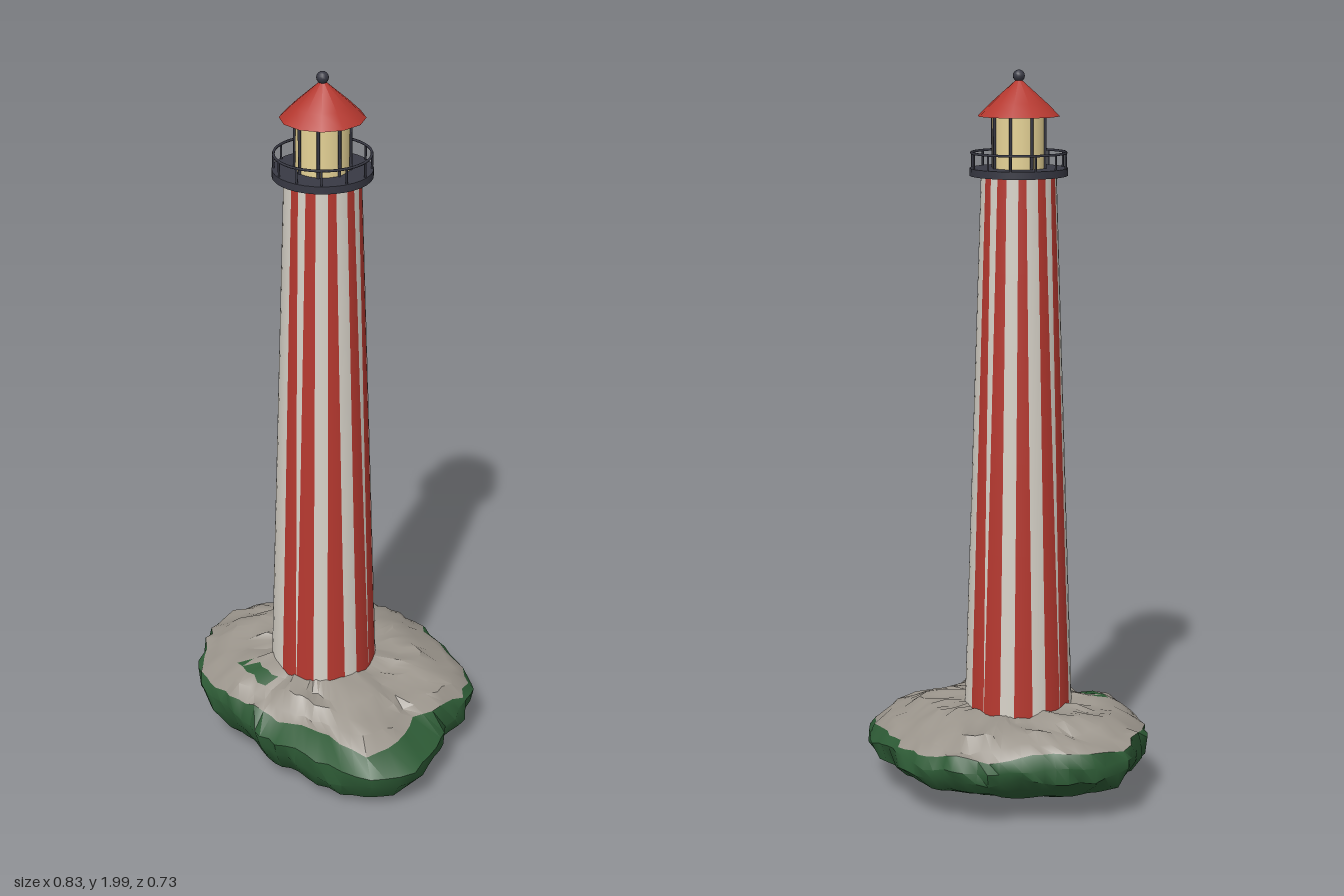
import * as THREE from 'three';
import { toCreasedNormals } from 'three/addons/utils/BufferGeometryUtils.js';

const DEG = Math.PI / 180;
const CX = -0.015, CZ = 0.017; // tower axis

function material(name, color) {
  const m = new THREE.MeshStandardMaterial({ color });
  m.name = name;
  return m;
}

// Small repeatable noise in -0.5..0.5
function noise(i, j) {
  const s = Math.sin(i * 127.1 + j * 311.7) * 43758.5453;
  return s - Math.floor(s) - 0.5;
}

// Strip of the tapered tower between two angles, which may differ at bottom and top
function towerStrip(a0, a1, t0, t1) {
  const y0 = 0.21, y1 = 1.73, r0 = 0.151, r1 = 0.1, rows = 6, cols = 6;
  const pos = [], nor = [], idx = [];
  for (let j = 0; j <= rows; j++) {
    const v = j / rows, r = r0 + (r1 - r0) * v;
    for (let i = 0; i <= cols; i++) {
      const u = i / cols;
      const low = a0 + (a1 - a0) * u, high = t0 + (t1 - t0) * u;
      const a = (low + (high - low) * v) * DEG;
      pos.push(r * Math.cos(a), y0 + (y1 - y0) * v, r * Math.sin(a));
      nor.push(Math.cos(a), 0.033, Math.sin(a));
      if (i < cols && j < rows) {
        const p = j * (cols + 1) + i, q = p + cols + 1;
        idx.push(p, q, p + 1, p + 1, q, q + 1);
      }
    }
  }
  const g = new THREE.BufferGeometry();
  g.setAttribute('position', new THREE.Float32BufferAttribute(pos, 3));
  g.setAttribute('normal', new THREE.Float32BufferAttribute(nor, 3));
  g.setIndex(idx);
  return g;
}

// Rock island: rings from the summit over the rim to the underside
function islandGeometry() {
  // outline radius and grey-top radius every 15 degrees, from +x towards +z
  const rim = [.375, .42, .47, .455, .415, .36, .345, .315, .335, .365, .385, .39,
    .415, .39, .35, .343, .347, .365, .363, .363, .35, .38, .41, .405];
  const top = [.355, .33, .385, .4, .325, .3, .29, .295, .325, .355, .375, .38,
    .395, .38, .335, .328, .337, .35, .345, .35, .335, .355, .395, .39];
  const N = 72;
  const sample = (t, k) => {
    const f = k * 24 / N, i = Math.floor(f);
    return t[i % 24] + (t[(i + 1) % 24] - t[i % 24]) * (f - i);
  };
  // [table, scale, height, tilt in x, tilt in z, roughness]
  const rings = [
    [top, 0, .27, 0, 0, 0], [top, .35, .27, -.02, 0, .01],
    [top, .5, .265, -.04, 0, .022], [top, .64, .257, -.04, 0, .025],
    [top, .78, .245, -.04, 0, .025], [top, .9, .228, -.04, 0, .025],
    [top, 1, .2, -.04, -.01, .025],
    [rim, 1, .168, -.06, -.03, .025], [rim, .985, .13, -.06, -.04, .025],
    [rim, .9, .09, -.07, -.07, .022], [rim, .74, .055, -.06, -.09, .018],
    [rim, .5, .037, -.04, -.09, .015], [rim, .25, .027, -.03, -.08, .012],
    [rim, 0, .02, 0, 0, 0],
  ];
  const pos = [], rock = [], grass = [];
  rings.forEach(([table, s, y, tx, tz, rough], j) => {
    for (let k = 0; k < N; k++) {
      const a = k / N * Math.PI * 2;
      // coarse bumps shared by neighbours plus fine ones
      const c = Math.floor(k / 3), w = (k % 3) / 3;
      const coarse = noise(c, j) * (1 - w) + noise((c + 1) % (N / 3), j) * w;
      const r = sample(table, k) * s + (s ? rough * 0.7 * noise(k, j + 40) : 0);
      const x = r * Math.cos(a), z = r * Math.sin(a);
      const h = y + tx * x + tz * z + rough * (coarse * 1.3 + noise(k, j + 80) * 0.3);
      pos.push(x, Math.max(0, h), z);
    }
  });
  const addTriangle = (j, a, b, c) => {
    const x = (pos[a * 3] + pos[b * 3] + pos[c * 3]) / 3;
    const z = (pos[a * 3 + 2] + pos[b * 3 + 2] + pos[c * 3 + 2]) / 3;
    const patch = Math.hypot((x + 0.13) / 0.055, (z - 0.2) / 0.026) < 1;
    (j >= 6 || patch ? grass : rock).push(a, b, c);
  };
  for (let j = 0; j < rings.length - 1; j++) {
    for (let k = 0; k < N; k++) {
      const a = j * N + k, b = j * N + (k + 1) % N;
      addTriangle(j, a, b, a + N);
      addTriangle(j, b, b + N, a + N);
    }
  }
  const g = new THREE.BufferGeometry();
  g.setAttribute('position', new THREE.Float32BufferAttribute(pos, 3));
  g.setIndex([...rock, ...grass]);
  g.addGroup(0, rock.length, 0);
  g.addGroup(rock.length, grass.length, 1);
  return toCreasedNormals(g, 0.7);
}

export function createModel() {
  const white = material('white paint', 0xd6d1c7);
  const red = material('red paint', 0xb5382f);
  const iron = material('dark iron', 0x383944);
  const glass = material('lamp glass', 0xe6d396);
  const rock = material('grey rock', 0x9b958c);
  const grass = material('dark grass', 0x2d5a35);

  const model = new THREE.Group();
  model.name = 'lighthouse';
  const add = (parent, name, geometry, mat, x = 0, y = 0, z = 0) => {
    const mesh = new THREE.Mesh(geometry, mat);
    mesh.name = name;
    mesh.position.set(x, y, z);
    parent.add(mesh);
    return mesh;
  };

  add(model, 'island', islandGeometry(), [rock, grass]);

  const house = new THREE.Group();
  house.name = 'tower';
  house.position.set(CX, 0, CZ);
  model.add(house);

  // Striped wall: four wide red bands, each with a white wedge narrowing downwards
  for (let a = 0; a < 360; a += 90) {
    add(house, 'redStripe', towerStrip(a - 20, a, a - 21, a - 6), red);
    add(house, 'whiteWedge', towerStrip(a, a, a - 6, a + 7), white);
    add(house, 'redStripe', towerStrip(a, a + 20, a + 7, a + 21), red);
    if (a === 0 || a === 180) {
      // narrow red band between the wide ones on two sides
      add(house, 'whiteStripe', towerStrip(a + 20, a + 35, a + 21, a + 39), white);
      add(house, 'narrowStripe', towerStrip(a + 35, a + 55, a + 39, a + 51), red);
      add(house, 'whiteStripe', towerStrip(a + 55, a + 70, a + 51, a + 69), white);
    } else {
      add(house, 'whitePanel', towerStrip(a + 20, a + 70, a + 21, a + 69), white);
    }
  }

  // Gallery deck and railing
  add(house, 'galleryDeck', new THREE.CylinderGeometry(0.13, 0.13, 0.02, 32), iron, 0, 1.735, 0);
  const rail = add(house, 'handRail', new THREE.TorusGeometry(0.125, 0.0035, 6, 40), iron, 0, 1.785, 0);
  rail.rotation.x = Math.PI / 2;
  for (let i = 0; i < 12; i++) {
    const a = i * 30 * DEG;
    add(house, 'railPost', new THREE.CylinderGeometry(0.003, 0.003, 0.045, 6), iron,
      0.125 * Math.cos(a), 1.764, 0.125 * Math.sin(a));
  }

  // Lantern room with upright bars
  add(house, 'lantern', new THREE.CylinderGeometry(0.07, 0.07, 0.14, 24), glass, 0, 1.812, 0);
  for (let i = 0; i < 8; i++) {
    const a = (i + 0.5) * 45 * DEG;
    add(house, 'lanternBar', new THREE.CylinderGeometry(0.004, 0.004, 0.14, 6), iron,
      0.072 * Math.cos(a), 1.812, 0.072 * Math.sin(a));
  }

  // Roof with closed underside, and finial
  const roofProfile = [[0.11, 1.88], [0.075, 1.914], [0, 1.98]];
  add(house, 'roof', new THREE.LatheGeometry(
    roofProfile.map(([r, y]) => new THREE.Vector2(r, y)), 12), red);
  const soffit = add(house, 'roofUnderside', new THREE.CircleGeometry(0.11, 12), red, 0, 1.88, 0);
  soffit.rotation.x = Math.PI / 2;
  add(house, 'finial', new THREE.SphereGeometry(0.016, 12, 8), iron, 0, 1.984, 0);

  return model;
}
